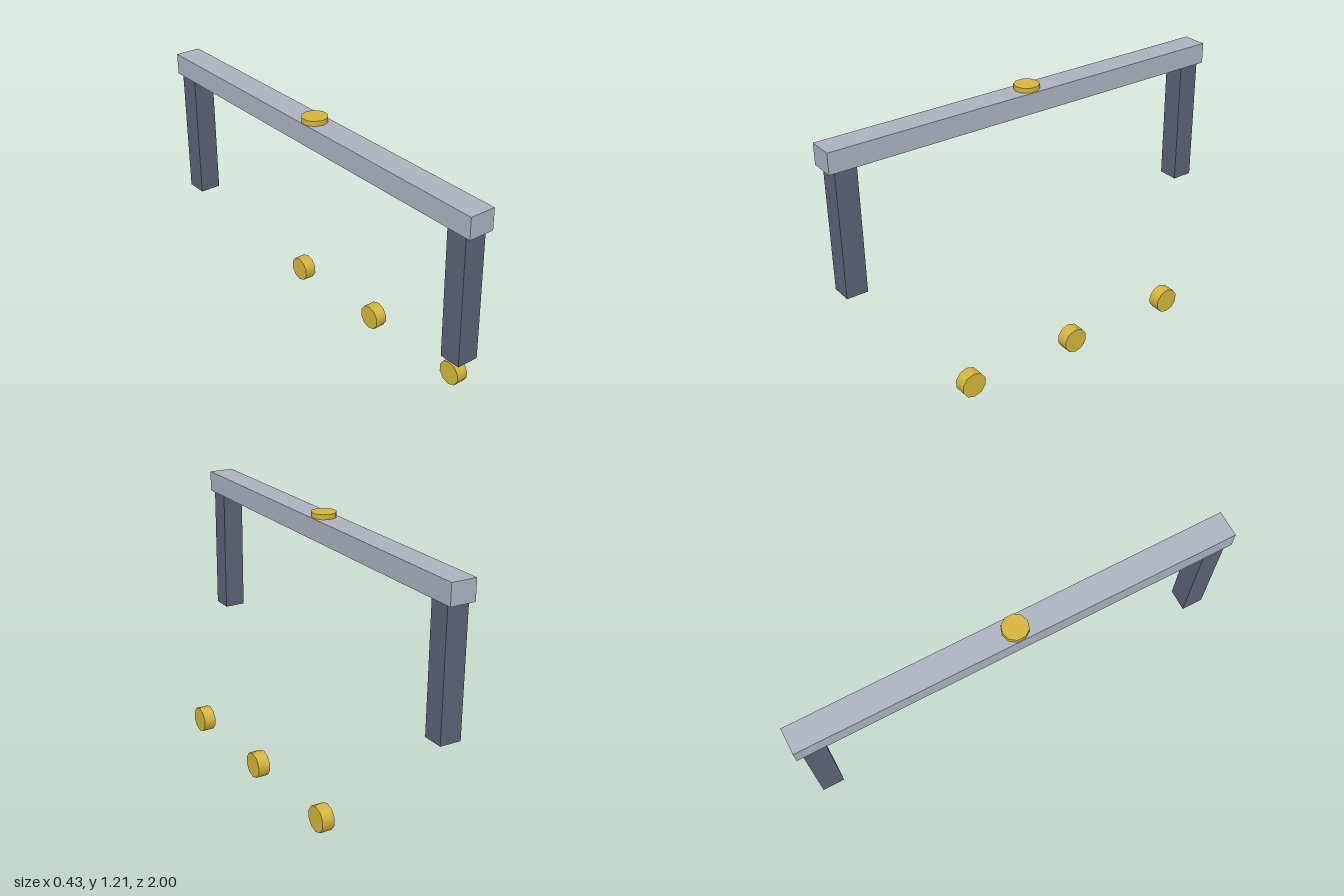
import * as THREE from 'three';

const material = (color) => new THREE.MeshStandardMaterial({ color });

export function createModel() {
  const model = new THREE.Group();
  const steel = material(0xaab2bd);
  const slate = material(0x5b6273);
  const gold = material(0xd4b43c);

  const add = (name, geometry, mat, x, y, z) => {
    const mesh = new THREE.Mesh(geometry, mat);
    mesh.name = name;
    mesh.position.set(x, y, z);
    model.add(mesh);
    return mesh;
  };

  const frameX = -0.155;

  // long crossbeam
  add('beam', new THREE.BoxGeometry(0.118, 0.097, 2), steel, frameX, 1.143, 0);

  // two hanging posts, one at each end
  for (const side of [1, -1]) {
    const name = side > 0 ? 'frontPost' : 'backPost';
    add(name, new THREE.BoxGeometry(0.1, 0.592, 0.1), slate, frameX, 0.799, side * 0.922);
  }

  // flat ten-sided cap on the beam
  add('beamCap', new THREE.CylinderGeometry(0.058, 0.058, 0.04, 10), gold, frameX - 0.001, 1.194, 0);

  // row of loose discs standing on edge, a corner pointing up
  for (const z of [-0.561, 0, 0.561]) {
    const geometry = new THREE.CylinderGeometry(0.0605, 0.0605, 0.058, 10, 1, false, Math.PI / 2);
    add('disc', geometry.rotateZ(Math.PI / 2), gold, 0.184, 0.0605, z);
  }

  return model;
}
